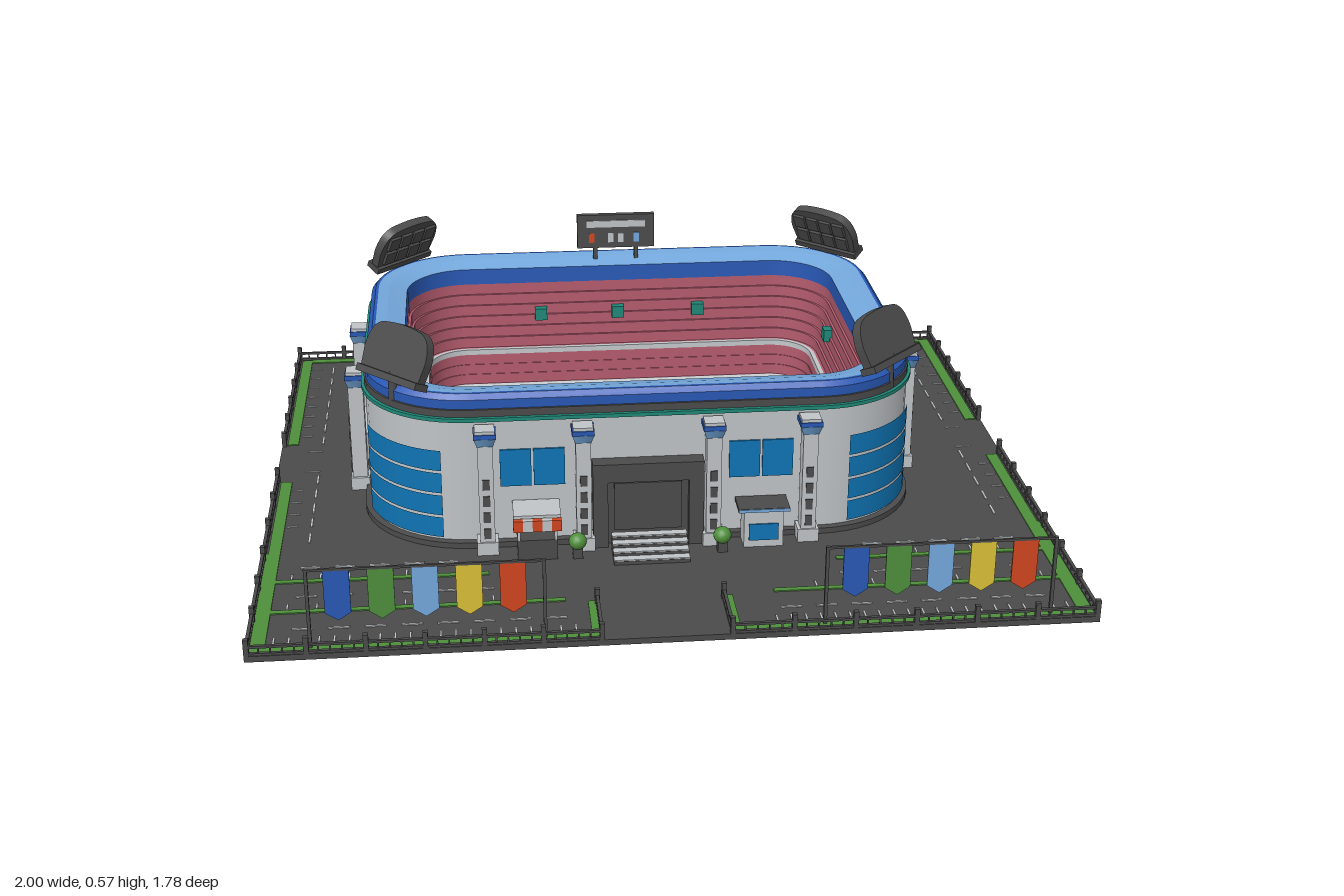
import * as THREE from 'three';

const mat = (name, color) => Object.assign(new THREE.MeshStandardMaterial({ color }), { name });
const M = {
  dark: mat('charcoal', 0x4c4b4b), green: mat('grass green', 0x4f8f3c), sky: mat('light blue', 0x74a8dc),
  blue: mat('royal blue', 0x2858b4), pink: mat('seat pink', 0xb55c6e), pale: mat('pale grey', 0xc0c4c7),
  glass: mat('glass blue', 0x0f74b4), yellow: mat('yellow', 0xd8bf38), red: mat('red orange', 0xd0451f),
  teal: mat('teal', 0x1f8877),
};
const CX = -0.03, CZ = -0.135, HX = 0.71, HZ = 0.535, R = 0.27, G = 0.015;

function add(parent, name, geo, m, x = 0, y = 0, z = 0) {
  const mesh = new THREE.Mesh(geo, m);
  mesh.name = name;
  mesh.position.set(x, y, z);
  parent.add(mesh);
  return mesh;
}
// Box whose y is its underside
const box = (p, name, m, w, h, d, x, y, z) => add(p, name, new THREE.BoxGeometry(w, h, d), m, x, y + h / 2, z);
// Flat ground marking given by its x and z limits
const mark = (p, name, m, x0, x1, z0, z1, y = G) =>
  box(p, name, m, x1 - x0, 0.003, z1 - z0, (x0 + x1) / 2, y, (z0 + z1) / 2);
const group = (p, name, x = 0, z = 0, turn = 0) => {
  const g = new THREE.Group();
  g.name = name;
  g.position.set(x, 0, z);
  g.rotation.y = turn;
  p.add(g);
  return g;
};

// Points of one rounded corner of the bowl, pushed inwards by inset
function corner(k, inset, a0 = 0, a1 = Math.PI / 2, n = 12) {
  const sx = k === 0 || k === 3 ? 1 : -1, sz = k < 2 ? 1 : -1, r = R - inset, pts = [];
  for (let i = 0; i <= n; i++) {
    const a = k * Math.PI / 2 + a0 + (a1 - a0) * i / n;
    pts.push([sx * (HX - R) + r * Math.cos(a), sz * (HZ - R) + r * Math.sin(a)]);
  }
  return pts;
}
const outline = (inset) => [0, 1, 2, 3].flatMap((k) => corner(k, inset));

// Strip between two [inset, height] levels, following the outline
function strip(p, name, m, lo, hi, path = outline, closed = true) {
  const a = path(lo[0]), b = path(hi[0]), n = a.length, pos = [], idx = [];
  for (let i = 0; i < n; i++) pos.push(a[i][0], lo[1], a[i][1], b[i][0], hi[1], b[i][1]);
  for (let i = 0; i < (closed ? n : n - 1); i++) {
    const c = 2 * i, d = 2 * ((i + 1) % n);
    idx.push(c, c + 1, d, c + 1, d + 1, d);
  }
  const geo = new THREE.BufferGeometry();
  geo.setAttribute('position', new THREE.Float32BufferAttribute(pos, 3));
  geo.setIndex(idx);
  geo.computeVertexNormals();
  add(p, name, geo, m);
}
const strips = (p, name, m, prof) => {
  for (let i = 1; i < prof.length; i++) strip(p, name, m, prof[i - 1], prof[i]);
};

function buildBowl(p) {
  strips(p, 'plinth', M.dark, [[-0.012, G], [-0.012, 0.03], [0.005, 0.032]]);
  strips(p, 'outerWall', M.pale, [[0.004, 0.03], [0.004, 0.36]]);
  strips(p, 'tealTrim', M.teal, [[0.004, 0.358], [-0.006, 0.36], [-0.006, 0.37], [0.004, 0.371]]);
  strips(p, 'darkBand', M.dark, [[0.002, 0.37], [0.002, 0.39], [0.012, 0.392]]);
  strips(p, 'blueRim', M.blue, [[0.006, 0.39], [0.006, 0.415], [0.018, 0.428], [0.026, 0.428]]);
  strips(p, 'roof', M.sky, [[0.026, 0.428], [0.055, 0.424], [0.104, 0.41]]);
  strips(p, 'innerRim', M.blue, [[0.104, 0.41], [0.106, 0.365]]);
  // Terraced seats, with a pale walkway between the tiers
  const tier = (i0, y0, i1, y1, n) => {
    const prof = [[i0, y0]];
    for (let i = 1; i <= n; i++) {
      const y = y0 + (y1 - y0) * i / n;
      prof.push([i0 + (i1 - i0) * (i - 1) / n, y], [i0 + (i1 - i0) * i / n, y]);
    }
    return prof;
  };
  strips(p, 'upperSeats', M.pink, tier(0.106, 0.365, 0.146, 0.18, 6));
  strips(p, 'walkway', M.pale, [[0.146, 0.18], [0.158, 0.18], [0.159, 0.165]]);
  strips(p, 'lowerSeats', M.pink, tier(0.159, 0.165, 0.166, 0.075, 3));
  strips(p, 'pitchKerb', M.pale, [[0.166, 0.075], [0.176, 0.07], [0.177, 0.055]]);
  const lawn = new THREE.Shape(outline(0.17).map(([x, z]) => new THREE.Vector2(x, -z)).reverse());
  add(p, 'lawn', new THREE.ShapeGeometry(lawn).rotateX(-Math.PI / 2), M.green, 0, 0.06, 0);
  // Curved corner windows in four rows
  for (let k = 0; k < 4; k++) for (let r = 0; r < 4; r++) {
    const y = 0.04 + r * 0.0615;
    strip(p, 'cornerWindow', M.glass, [-0.002, y], [-0.002, y + 0.055], (i) => corner(k, i, 0.28, 1.29), false);
  }
  // Boxes among the seats
  for (const s of [-1, 1]) {
    for (const x of [-0.225, 0, 0.235]) box(p, 'standBox', M.teal, 0.035, 0.035, 0.035, x, 0.26, s * (HZ - 0.125));
    for (const z of [-0.165, 0.165]) box(p, 'standBox', M.teal, 0.035, 0.035, 0.035, s * (HX - 0.125), 0.26, z);
  }
}

function buildPitchLines(p) {
  const y = 0.061, t = 0.004;
  const frame = (x0, x1, z0, z1) => {
    for (const z of [z0, z1]) mark(p, 'pitchLine', M.yellow, x0 - t, x1 + t, z - t, z + t, y);
    for (const x of [x0, x1]) mark(p, 'pitchLine', M.yellow, x - t, x + t, z0, z1, y);
  };
  frame(-0.35, 0.35, -0.243, 0.243);
  frame(-0.35, -0.26, -0.118, 0.118);
  frame(0.26, 0.35, -0.118, 0.118);
  frame(-0.35, -0.31, -0.06, 0.06);
  frame(0.31, 0.35, -0.06, 0.06);
  mark(p, 'halfwayLine', M.yellow, -t, t, -0.243, 0.243, y);
  const ring = (r, x, from, len) =>
    add(p, 'pitchCircle', new THREE.RingGeometry(r - t, r + t, 32, 1, from, len).rotateX(-Math.PI / 2), M.yellow, x, y + 0.003, 0);
  ring(0.072, 0, 0, Math.PI * 2);
  ring(0.035, -0.31, -Math.PI / 2, Math.PI);
  ring(0.035, 0.31, Math.PI / 2, Math.PI);
}

function column(p, x, z) {
  const g = group(p, 'column', x, z);
  box(g, 'columnBase', M.pale, 0.054, 0.035, 0.05, 0, G, 0);
  box(g, 'columnShaft', M.pale, 0.038, 0.27, 0.04, 0, 0.045, 0);
  const flare = new THREE.CylinderGeometry(0.038, 0.027, 0.025, 4).rotateY(Math.PI / 4);
  add(g, 'columnFlare', flare, M.sky, 0, 0.322, 0);
  box(g, 'columnBand', M.blue, 0.056, 0.013, 0.052, 0, 0.333, 0);
  box(g, 'columnCap', M.pale, 0.05, 0.008, 0.046, 0, 0.346, 0);
  for (let i = 0; i < 4; i++) box(g, 'columnPlate', M.dark, 0.018, 0.028, 0.006, 0, 0.06 + i * 0.045, 0.02);
}

// Long facade: columns, portal, stairs and bushes
function longFacade(p, turn, windows) {
  const g = group(p, 'longFacade', 0, 0, turn), f = HZ;
  for (const x of [-0.405, -0.163, 0.163, 0.405]) column(g, x, f + 0.028);
  for (const s of [-1, 1]) {
    box(g, 'portalSide', M.dark, 0.038, 0.23, 0.045, s * 0.121, G, f + 0.015);
    const bush = add(g, 'bush', new THREE.IcosahedronGeometry(0.023, 2), M.green, s * 0.182, 0.058, f + 0.078);
    bush.scale.y = 0.95;
    box(g, 'bushPot', M.dark, 0.025, 0.03, 0.025, s * 0.182, G, f + 0.078);
    if (windows) for (const o of [-0.042, 0.042])
      box(g, 'frontWindow', M.glass, 0.078, 0.1, 0.008, s * 0.288 + o, 0.18, f - 0.003);
  }
  box(g, 'portalTop', M.dark, 0.28, 0.05, 0.045, 0, 0.195, f + 0.015);
  box(g, 'portalDoor', M.dark, 0.21, 0.18, 0.02, 0, G, f + 0.005);
  box(g, 'doorLeaf', M.dark, 0.17, 0.13, 0.008, 0, 0.055, f + 0.017);
  for (let i = 0; i < 4; i++) {
    const h = 0.04 - i * 0.01, z = f + 0.05 + i * 0.024;
    box(g, 'step', M.dark, 0.19, h, 0.024, 0, G, z);
    box(g, 'tread', M.pale, 0.19, 0.003, 0.022, 0, G + h, z);
  }
}

// Short facade: columns, wide windows and a sloped side entrance
function shortFacade(p, turn) {
  const g = group(p, 'shortFacade', 0, 0, turn), f = HX;
  for (const x of [-0.157, 0.157]) column(g, x, f + 0.028);
  for (const y of [0.177, 0.232]) box(g, 'sideWindow', M.glass, 0.25, 0.05, 0.008, 0, y, f - 0.003);
  const s = new THREE.Shape([[-0.132, 0], [0.132, 0], [0.132, 0.065], [0.09, 0.12], [-0.09, 0.12], [-0.132, 0.065]]
    .map(([x, y]) => new THREE.Vector2(x, y)));
  add(g, 'sideEntrance', new THREE.ExtrudeGeometry(s, { depth: 0.05, bevelEnabled: false }), M.dark, 0, G, f - 0.02);
  box(g, 'entranceRoof', M.pale, 0.18, 0.004, 0.055, 0, G + 0.12, f + 0.03);
  box(g, 'entranceCanopy', M.dark, 0.18, 0.012, 0.055, 0, G + 0.108, f + 0.03);
  for (const x of [-0.04, 0.04]) box(g, 'sideDoor', M.dark, 0.07, 0.075, 0.008, x, 0.04, f + 0.03);
}

function floodlight(p, sx, sz) {
  const g = group(p, 'floodlight', sx * (HX - 0.105), sz * (HZ - 0.115), Math.atan2(-sx, -sz));
  add(g, 'lampPost', new THREE.CylinderGeometry(0.01, 0.014, 0.09, 8), M.dark, 0, 0.42, -0.03);
  const head = new THREE.Group();
  head.name = 'lampHead';
  head.position.set(0, 0.445, -0.035);
  head.rotation.x = 0.45;
  g.add(head);
  const s = new THREE.Shape();
  s.moveTo(-0.1, 0);
  s.lineTo(0.1, 0);
  s.lineTo(0.107, 0.06);
  s.quadraticCurveTo(0.105, 0.125, 0.06, 0.132);
  s.quadraticCurveTo(0, 0.142, -0.06, 0.132);
  s.quadraticCurveTo(-0.105, 0.125, -0.107, 0.06);
  add(head, 'lampPanel', new THREE.ExtrudeGeometry(s, { depth: 0.025, bevelEnabled: false }), M.dark, 0, 0, -0.012);
  box(head, 'lampBar', M.dark, 0.21, 0.018, 0.045, 0, -0.006, 0);
  for (let i = 0; i < 8; i++)
    box(head, 'lampCell', M.dark, 0.038, 0.04, 0.012, (i % 4 - 1.5) * 0.045, 0.022 + Math.floor(i / 4) * 0.05, 0.016);
}

function scoreboard(p) {
  const g = group(p, 'scoreboard', 0, -0.47);
  for (const x of [-0.06, 0.06]) box(g, 'boardPost', M.dark, 0.012, 0.06, 0.012, x, 0.41, 0);
  box(g, 'board', M.dark, 0.225, 0.1, 0.018, 0, 0.455, 0);
  box(g, 'boardStrip', M.pale, 0.17, 0.02, 0.004, 0, 0.518, 0.01);
  [[-0.07, M.red], [-0.015, M.pale], [0.015, M.pale], [0.06, M.sky]].forEach(([x, m]) =>
    box(g, 'scorePanel', m, 0.016, 0.028, 0.004, x, 0.472, 0.01));
}

function fence(p, x0, z0, x1, z1) {
  const len = Math.hypot(x1 - x0, z1 - z0), g = group(p, 'fence', x0, z0, -Math.atan2(z1 - z0, x1 - x0));
  for (const y of [G, 0.034]) box(g, 'fenceRail', M.dark, len, 0.006, 0.008, len / 2, y, 0);
  const n = Math.max(1, Math.round(len / 0.14)), k = n * 5;
  for (let i = 0; i <= n; i++) box(g, 'fencePost', M.dark, 0.012, 0.042, 0.012, len * i / n, G, 0);
  for (let i = 1; i < k; i++) box(g, 'fencePicket', M.dark, 0.004, 0.02, 0.004, len * i / k, G, 0);
}

function banners(p, x0) {
  const g = group(p, 'banners', x0, 0.865), w = 0.54;
  for (const x of [0, w]) box(g, 'bannerPole', M.dark, 0.008, 0.205, 0.008, x, G, 0);
  box(g, 'bannerRail', M.dark, w, 0.006, 0.006, w / 2, 0.214, 0);
  const s = new THREE.Shape([[-0.03, 0], [-0.03, -0.11], [0, -0.13], [0.03, -0.11], [0.03, 0]].map(([x, y]) => new THREE.Vector2(x, y)));
  [M.blue, M.green, M.sky, M.yellow, M.red].forEach((m, i) =>
    add(g, 'banner', new THREE.ExtrudeGeometry(s, { depth: 0.004, bevelEnabled: false }), m, 0.068 + i * 0.1, 0.216, -0.002));
}

function grounds(p) {
  box(p, 'ground', M.dark, 2, G, 1.78, 0, 0, 0);
  for (const s of [-1, 1]) {
    const m = (name, mt, a, b, z0, z1) => mark(p, name, mt, Math.min(s * a, s * b), Math.max(s * a, s * b), z0, z1);
    const gate = s < 0 ? 0.18 : 0.125, mid = s < 0 ? [0.435, 0.255] : [0.43, 0.25];
    m('verge', M.green, 0.955, 0.985, -0.87, -0.25);
    m('verge', M.green, 0.955, 0.985, -0.01, 0.4);
    m('verge', M.green, 0.955, 0.995, 0.4, 0.88);
    m('backVerge', M.green, gate, 0.955, -0.875, -0.852);
    m('frontVerge', M.green, gate, 0.955, 0.85, 0.88);
    m('gateVerge', M.green, gate, gate + 0.022, 0.71, 0.85);
    m('median', M.green, mid[0], 0.955, 0.54, 0.555);
    m('median', M.green, mid[1], 0.955, 0.688, 0.703);
    m('bayEdge', M.pale, 0.22, 0.95, 0.842, 0.847);
    // Parking bays and lane dashes
    for (let x = 0.92; x > 0.47; x -= 0.07) m('bayLine', M.pale, x - 0.005, x, 0.512, 0.538);
    for (let x = 0.92; x > 0.3; x -= 0.07) m('bayLine', M.pale, x - 0.005, x, 0.66, 0.686);
    for (let x = 0.94; x > 0.23; x -= 0.035) m('bayLine', M.pale, x - 0.005, x, 0.815, 0.842);
    [[0.475, 0.5], [0.62, 0.4], [0.775, 0.28]].forEach(([z, end]) => {
      for (let x = 0.9; x > end; x -= 0.085) m('laneDash', M.pale, x - 0.05, x, z, z + 0.006);
    });
    for (let z = -0.8; z < 0.3; z += 0.07) if (z < -0.25 || z > -0.02) m('bayLine', M.pale, 0.922, 0.95, z, z + 0.005);
    for (let z = -0.81; z < 0.3; z += 0.085) if (z < -0.25 || z > -0.08) m('laneDash', M.pale, 0.884, 0.89, z, z + 0.05);
    for (const z of [-0.205, -0.075]) m('stopLine', M.pale, 0.885, 0.925, z, z + 0.005);
    fence(p, s * 0.994, -0.884, s * 0.994, -0.25);
    fence(p, s * 0.994, -0.02, s * 0.994, 0.884);
    for (const e of [-1, 1]) {
      fence(p, s * gate, e * 0.884, s * 0.994, e * 0.884);
      fence(p, s * gate, e * 0.72, s * gate, e * 0.884);
    }
  }
  banners(p, -0.85);
  banners(p, 0.345);
}

function kiosks(p) {
  const a = group(p, 'snackStand', -0.312, 0.45);
  box(a, 'standCounter', M.dark, 0.1, 0.055, 0.075, 0, G, 0);
  box(a, 'standBack', M.pale, 0.1, 0.12, 0.02, 0, G, -0.04);
  box(a, 'standRoof', M.pale, 0.118, 0.008, 0.09, 0, 0.132, -0.005);
  for (let i = 0; i < 5; i++) box(a, 'awningStripe', i % 2 ? M.pale : M.red, 0.024, 0.03, 0.018, (i - 2) * 0.024, 0.1, 0.042);
  for (const s of [-1, 1]) box(a, 'standPost', M.pale, 0.007, 0.065, 0.007, s * 0.046, 0.07, 0.034);
  const b = group(p, 'ticketBooth', 0.258, 0.438);
  box(b, 'boothBody', M.pale, 0.1, 0.1, 0.06, 0, G, 0);
  box(b, 'boothFront', M.glass, 0.075, 0.045, 0.008, 0, 0.035, 0.03);
  box(b, 'boothRoof', M.dark, 0.13, 0.01, 0.075, 0, 0.115, 0);
  box(b, 'boothTrim', M.sky, 0.13, 0.008, 0.004, 0, 0.116, 0.038);
}

export function createModel() {
  const model = new THREE.Group();
  model.name = 'stadium';
  grounds(model);
  const arena = group(model, 'arena', CX, CZ);
  buildBowl(arena);
  buildPitchLines(arena);
  longFacade(arena, 0, true);
  longFacade(arena, Math.PI, false);
  for (const s of [-1, 1]) {
    shortFacade(arena, s * Math.PI / 2);
    for (const t of [-1, 1]) floodlight(arena, s, t);
  }
  scoreboard(arena);
  kiosks(model);
  return model;
}
